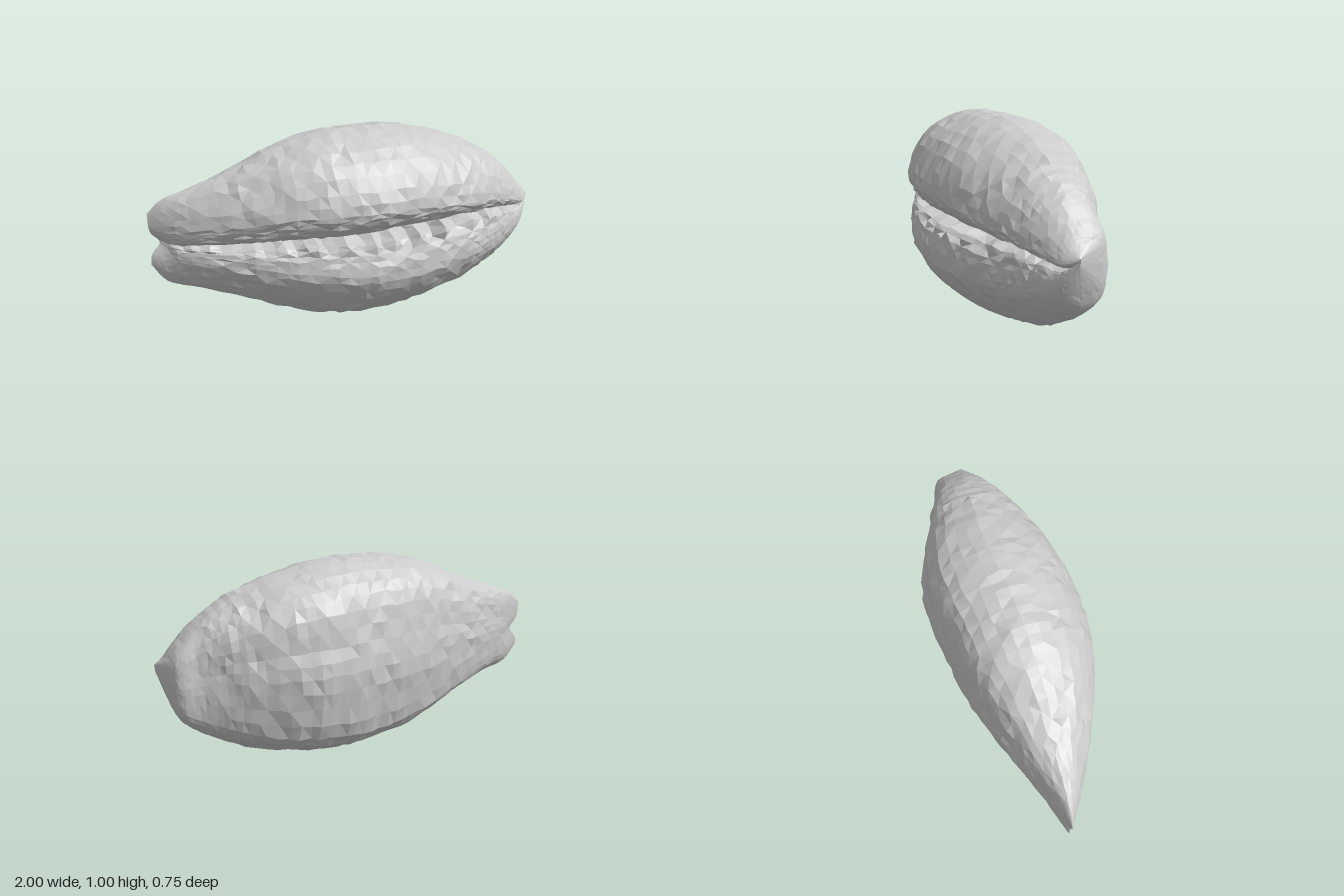
import * as THREE from 'three';

// Stations along the shell: x, bottom y, top y, back z, front z
const STATIONS = [
  [-1, 0.38, 0.64, -0.065, -0.055], [-0.93, 0.29, 0.705, -0.085, -0.005], [-0.8, 0.25, 0.75, -0.125, 0.08],
  [-0.6, 0.18, 0.83, -0.2, 0.19], [-0.4, 0.1, 0.92, -0.27, 0.28], [-0.2, 0.035, 0.975, -0.325, 0.345],
  [0, 0.005, 0.99, -0.35, 0.37], [0.2, 0.01, 0.99, -0.375, 0.36], [0.4, 0.045, 0.955, -0.355, 0.33],
  [0.6, 0.1, 0.89, -0.275, 0.27], [0.73, 0.165, 0.825, -0.21, 0.22], [0.83, 0.225, 0.755, -0.148, 0.175],
  [0.92, 0.305, 0.67, -0.13, 0.13], [0.96, 0.4, 0.615, -0.08, 0.105], [1, 0.54, 0.57, 0.05, 0.06],
];

// Cross-section loop: depth (-1 back, 1 front) and height (0 bottom, 1 top)
const SECTION = [
  [0, 0], [0.3, 0.04], [0.58, 0.105], [0.82, 0.2], [0.97, 0.3], [0.97, 0.38], [0.91, 0.44],
  [0.82, 0.485], [0.55, 0.515], [0.78, 0.54], [0.89, 0.575], [0.97, 0.615], [1, 0.655],
  [0.92, 0.76], [0.68, 0.88], [0.36, 0.96], [0, 1], [-0.35, 0.98], [-0.66, 0.92], [-0.84, 0.81],
  [-0.93, 0.66], [-1, 0.53], [-0.965, 0.36], [-0.86, 0.18], [-0.6, 0.09], [-0.3, 0.025],
];

const ROWS = 60;
const SIDES = 52;

// Repeatable noise in -1..1
function noise(i, j) {
  const s = Math.sin(i * 127.1 + j * 311.7) * 43758.5453;
  return (s - Math.floor(s)) * 2 - 1;
}

const bump = (d, width) => Math.exp(-((d / width) ** 2));

function shellGeometry() {
  const heights = new THREE.CatmullRomCurve3(
    STATIONS.map(([x, b, t]) => new THREE.Vector3(x, b, t)), false, 'catmullrom', 0.5);
  const depths = new THREE.CatmullRomCurve3(
    STATIONS.map(([x, , , b, f]) => new THREE.Vector3(x, b, f)), false, 'catmullrom', 0.5);
  const section = new THREE.CatmullRomCurve3(
    SECTION.map(([w, v]) => new THREE.Vector3(w, v, 0)), true, 'centripetal');
  const loop = Array.from({ length: SIDES }, (_, j) => section.getPoint(j / SIDES));

  const positions = [];
  const indices = [];
  for (let i = 0; i <= ROWS; i++) {
    const h = heights.getPoint(i / ROWS);
    const d = depths.getPoint(i / ROWS);
    // Roughness fades out where the rows crowd together at the ends
    const inner = Math.max(0, Math.min(1, (1 - Math.abs(h.x)) * 2.5));
    const rough = 0.006 * inner;
    const tooth = noise(i, 7) * Math.min(1, inner * 2);
    const boxy = THREE.MathUtils.smoothstep(h.x, 0.6, 0.85);
    loop.forEach((p, j) => {
      let w = p.x;
      let v = p.y;
      if (w > 0) {
        // The aperture rises towards the blunt end
        v += 0.05 * h.x * bump(v - 0.515, 0.1);
      } else {
        // The back grows squarer towards the blunt end
        w = -Math.pow(-w, 1 - 0.4 * boxy);
      }
      // Uneven teeth along the lower lip
      if (p.x > 0.5 && p.y > 0.45 && p.y < 0.52) {
        w += 0.07 * tooth;
        v += 0.02 * tooth;
      }
      // Notch between the two lobes at the pointed end
      const notch = 0.05 * bump(v - 0.42, 0.16) * bump(h.x + 1, 0.08);
      // Shallow pit where the spire is sunk into the back
      const pit = w < 0 ? 0.02 * bump(h.x - 0.74, 0.06) * bump(v - 0.53, 0.12) : 0;
      positions.push(
        h.x + notch + noise(i, j) * rough * 1.4,
        THREE.MathUtils.lerp(h.y, h.z, v) + noise(i + 90, j) * rough,
        THREE.MathUtils.lerp(d.y, d.z, (w + 1) / 2) + pit + noise(i, j + 90) * rough);
    });
  }
  for (let i = 0; i < ROWS; i++) {
    for (let j = 0; j < SIDES; j++) {
      const a = i * SIDES + j;
      const c = i * SIDES + (j + 1) % SIDES;
      const b = a + SIDES;
      const e = c + SIDES;
      // Alternate the diagonals for an irregular faceted surface
      if ((i + j) % 2) indices.push(a, b, c, c, b, e);
      else indices.push(a, b, e, a, e, c);
    }
  }
  const geometry = new THREE.BufferGeometry();
  geometry.setAttribute('position', new THREE.Float32BufferAttribute(positions, 3));
  geometry.setIndex(indices);
  geometry.computeVertexNormals();
  return geometry;
}

export function createModel() {
  const model = new THREE.Group();
  model.name = 'cowrieShell';
  const material = new THREE.MeshStandardMaterial({
    color: 0xcccccc, flatShading: true, side: THREE.DoubleSide,
  });
  const shell = new THREE.Mesh(shellGeometry(), material);
  shell.name = 'shell';
  model.add(shell);
  return model;
}
